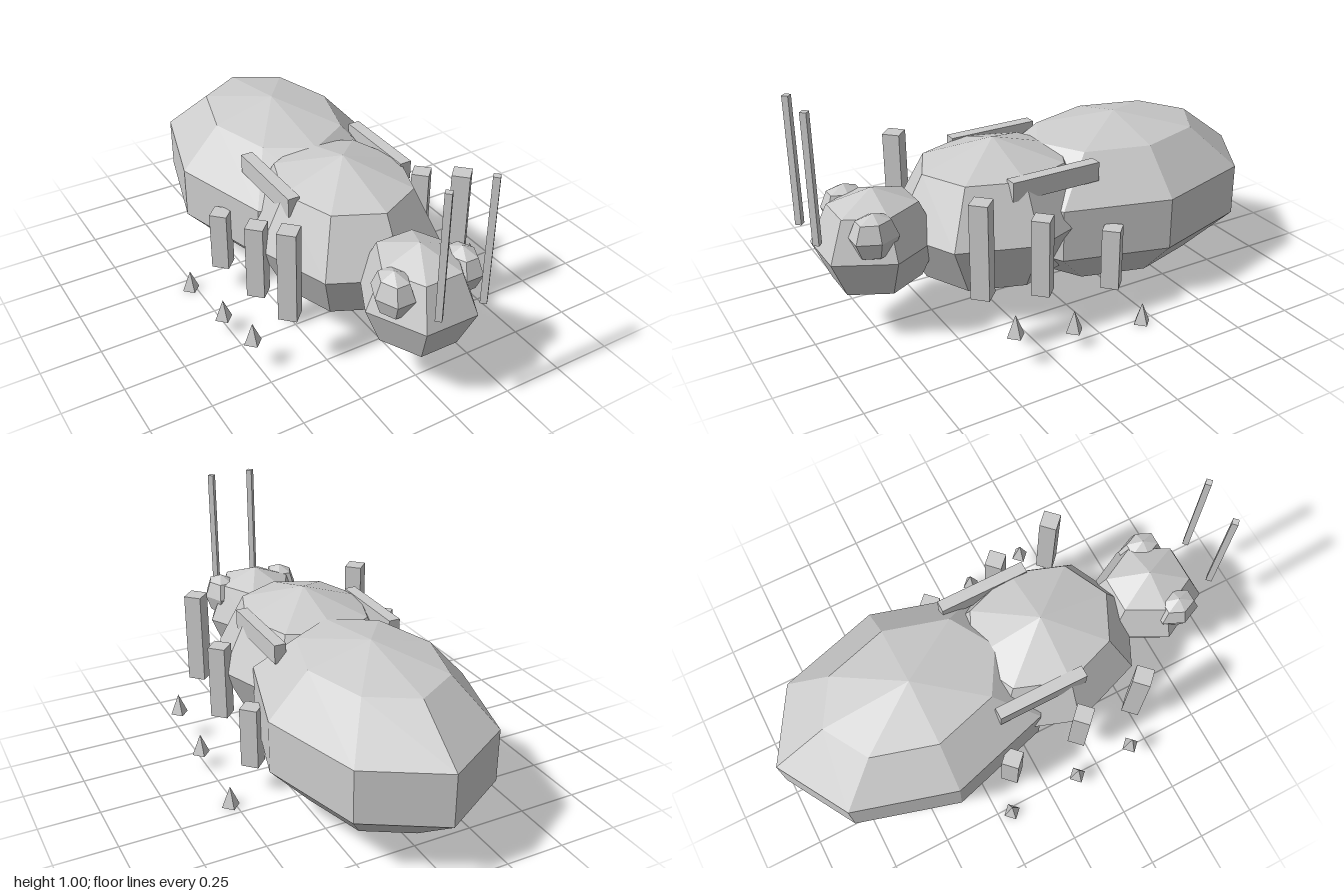
import * as THREE from 'three';

const material = new THREE.MeshStandardMaterial({ color: 0xcccccc, flatShading: true });

export function createModel() {
  const model = new THREE.Group();
  model.name = 'insect';

  const add = (name, geometry, x, y, z) => {
    const mesh = new THREE.Mesh(geometry, material);
    mesh.name = name;
    mesh.position.set(x, y, z);
    model.add(mesh);
    return mesh;
  };

  // Faceted ellipsoid: centre, radii, segments around and in height
  const ellipsoid = (name, [x, y, z], [rx, ry, rz], around, rows) =>
    add(name, new THREE.SphereGeometry(1, around, rows).scale(rx, ry, rz), x, y, z);

  // Four-sided upright post between two heights
  const post = (name, x, z, bottom, top, radius) =>
    add(name, new THREE.CylinderGeometry(radius, radius, top - bottom, 4), x, (bottom + top) / 2, z);

  // Body
  ellipsoid('abdomen', [0, 0.355, -0.385], [0.452, 0.355, 0.647], 8, 5);
  ellipsoid('thorax', [0, 0.39, 0.2], [0.378, 0.321, 0.443], 8, 4);
  ellipsoid('head', [0, 0.388, 0.723], [0.226, 0.226, 0.256], 6, 4);

  // Legs front to back: z, bottom, top; feet: z, bottom
  const legs = [[0.46, 0.258, 0.648], [0.2, 0.195, 0.517], [-0.125, 0.13, 0.39]];
  const feet = [[0.395, 0.132], [0.135, 0.067], [-0.19, 0]];

  for (const [side, s] of [['left', 1], ['right', -1]]) {
    ellipsoid(side + 'Eye', [s * 0.15, 0.486, 0.782], [0.077, 0.096, 0.1], 6, 4);
    post(side + 'Antenna', s * 0.097, 0.982, 0.483, 1.001, 0.018);
    add(side + 'Wing', new THREE.BoxGeometry(0.05, 0.08, 0.39), s * 0.258, 0.592, 0.07);
    legs.forEach(([z, bottom, top], i) => post(`${side}Leg${i + 1}`, s * 0.39, z, bottom, top, 0.052));
    feet.forEach(([z, bottom], i) =>
      add(`${side}Foot${i + 1}`, new THREE.ConeGeometry(0.038, 0.09, 4), s * 0.52, bottom + 0.045, z));
  }
  return model;
}
